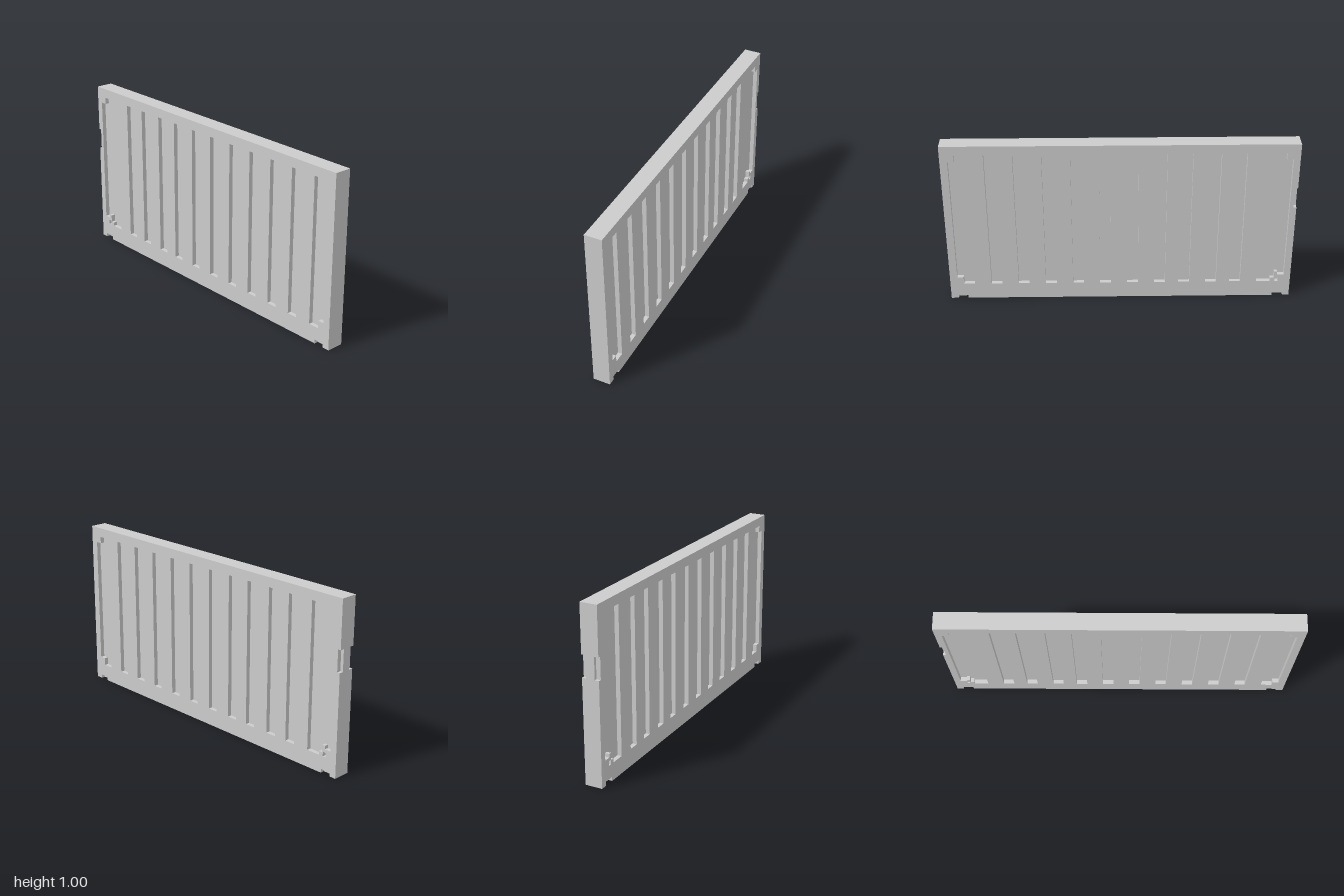
import * as THREE from 'three';

const DEPTH = 0.025; // depth of the recesses on each face
const material = new THREE.MeshStandardMaterial({ color: 0xcccccc, flatShading: true });

const points = (list) => list.map(([x, y]) => new THREE.Vector2(x, y));
const rect = (x0, x1, y0, y1) => points([[x0, y0], [x1, y0], [x1, y1], [x0, y1]]);

// Face layer: outline with edge notches, pierced by slots
function faceShape() {
  const shape = new THREE.Shape(points([
    [-1, 0], [-0.962, 0], [-0.962, 0.023], [-0.9, 0.023], [-0.9, 0],
    [0.9, 0], [0.9, 0.023], [0.957, 0.023], [0.957, 0], [1, 0],
    [1, 1], [-1, 1],
    [-1, 0.725], [-0.983, 0.725], [-0.983, 0.6], [-1, 0.6],
  ]));
  const bottom = 0.1, top = 0.945;
  const holes = [-0.705, -0.563, -0.405, -0.262, -0.103, 0.055, 0.214, 0.374, 0.534, 0.694]
    .map((x) => rect(x, x + 0.064, bottom, top));

  // Stepped end recess on the right of the sheet
  holes.push(points([
    [0.855, bottom], [0.92, bottom], [0.92, 0.145], [0.957, 0.145],
    [0.957, 0.905], [0.92, 0.905], [0.92, top], [0.855, top],
  ]));
  // Wide stepped end recess with its small latch cut-out
  holes.push(points([
    [-0.8, bottom], [-0.8, top], [-0.925, top], [-0.925, 0.905], [-0.962, 0.905],
    [-0.962, 0.145], [-0.922, 0.145], [-0.922, 0.165], [-0.904, 0.165],
    [-0.904, 0.122], [-0.882, 0.122], [-0.882, bottom],
  ]));
  holes.push(rect(-0.928, -0.909, bottom, 0.126));

  shape.holes = holes.map((h) => new THREE.Path(h));
  return shape;
}

export function createModel() {
  const group = new THREE.Group();
  group.name = 'slottedPanel';

  // Solid core forming the floor of every recess
  const core = new THREE.Mesh(new THREE.BoxGeometry(2, 1, 0.1 - 2 * DEPTH), material);
  core.position.y = 0.5;
  core.name = 'core';
  group.add(core);

  // Matching slotted layers on the front and back
  const layer = new THREE.ExtrudeGeometry(faceShape(), { depth: DEPTH, bevelEnabled: false });
  for (const [name, z] of [['frontFace', 0.05 - DEPTH], ['backFace', -0.05]]) {
    const face = new THREE.Mesh(layer, material);
    face.position.z = z;
    face.name = name;
    group.add(face);
  }
  return group;
}
